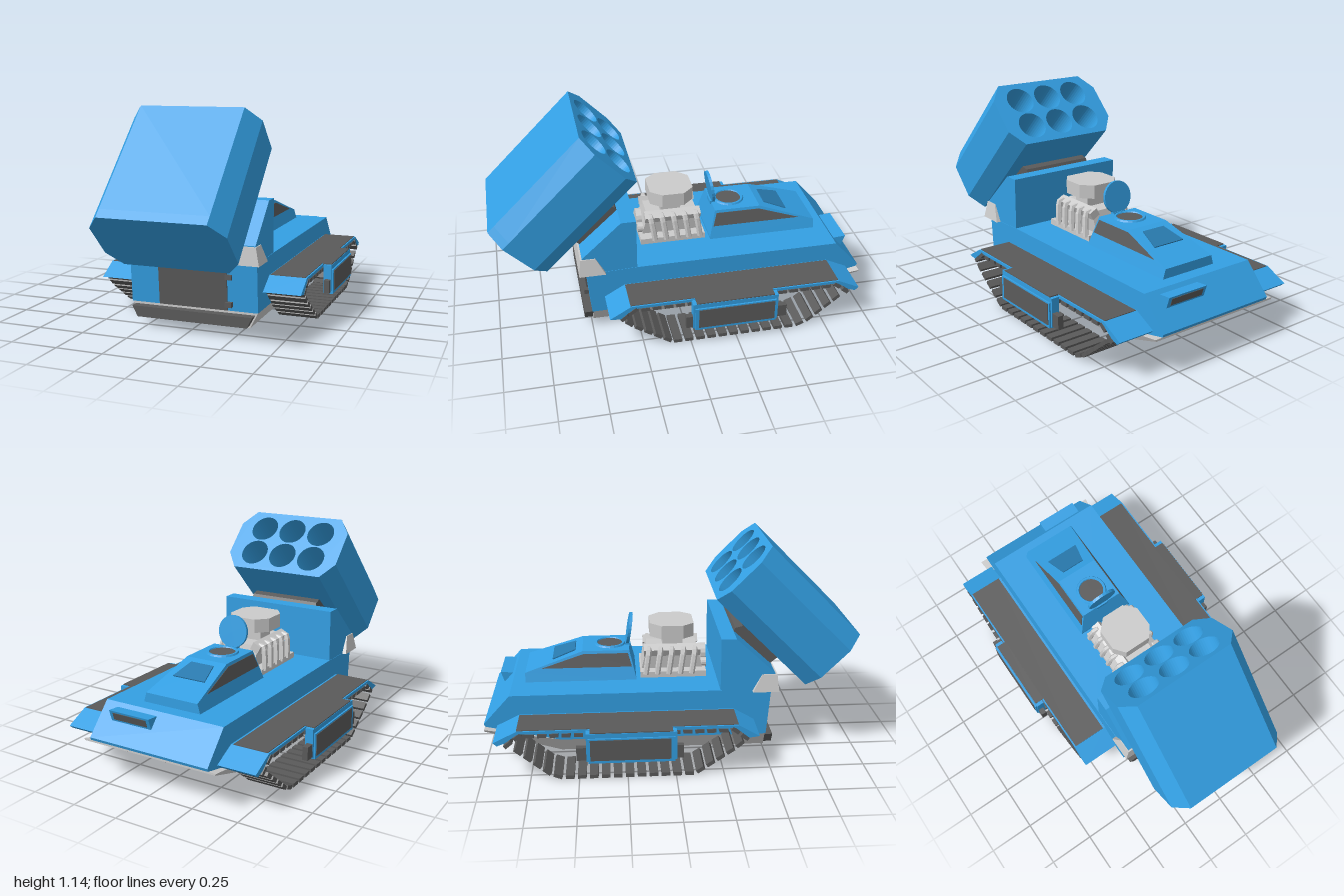
import * as THREE from 'three';

const mat = (color) => new THREE.MeshStandardMaterial({ color, flatShading: true });
const BLUE = mat(0x339fe3), DEEP = mat(0x2879ad), DARK = mat(0x5a5a5a), GREY = mat(0xcccccc);
const CX = 0.007; // hull centre line

function add(parent, name, geo, material, x = 0, y = 0, z = 0) {
  const mesh = new THREE.Mesh(geo, material);
  mesh.name = name;
  mesh.position.set(x, y, z);
  parent.add(mesh);
  return mesh;
}

const outline = (pts) => new THREE.Shape(pts.map(([a, b]) => new THREE.Vector2(a, b)));
const box = (w, h, d) => new THREE.BoxGeometry(w, h, d);

// Side profile of [z, y] points, extruded from x0 to x1
function prism(pts, x0, x1) {
  const g = new THREE.ExtrudeGeometry(outline(pts), { depth: x1 - x0, bevelEnabled: false });
  return g.rotateY(-Math.PI / 2).translate(x1, 0, 0);
}

// Profile centred on x, its half width running from h0 at height y0 to h1 at height y1
function tapered(pts, y0, h0, y1, h1) {
  const g = prism(pts, -1, 1), p = g.attributes.position;
  for (let i = 0; i < p.count; i++) {
    p.setX(i, p.getX(i) * (h0 + (h1 - h0) * (p.getY(i) - y0) / (y1 - y0)));
  }
  g.computeVertexNormals();
  return g;
}

function makeHull() {
  const g = new THREE.Group();
  g.name = 'hull';
  add(g, 'upperHull', prism([[0.5, 0.12], [0.52, 0.37], [0.25, 0.38], [-0.86, 0.38], [-1, 0.225], [-0.995, 0.21], [-0.6, 0.12]], -0.347, 0.347), BLUE);
  add(g, 'lowerHull', tapered([[0.495, 0.12], [0.495, 0.04], [-0.6, 0.04], [-0.995, 0.2], [-0.995, 0.21], [-0.6, 0.12]], 0.12, 0.345, 0.04, 0.305), GREY);
  add(g, 'bellyPlate', tapered([[0.49, 0.05], [0.49, 0.038], [-0.6, 0.038], [-0.985, 0.194], [-0.985, 0.2], [-0.6, 0.05]], 0.04, 0.295, 0.2, 0.335), DARK);
  add(g, 'rearBumper', tapered([[0.49, 0.107], [0.54, 0.107], [0.54, 0.05], [0.49, 0.05]], 0.107, 0.33, 0.05, 0.3), DARK);
  // rear door with hinges
  add(g, 'rearDoor', prism([[0.49, 0.122], [0.508, 0.122], [0.525, 0.34], [0.49, 0.34]], -0.187, 0.187), DARK);
  for (const y of [0.155, 0.297]) add(g, 'doorHinge', box(0.035, 0.026, 0.03), DARK, 0.197, y, 0.512);
  // nose vent
  add(g, 'noseVent', prism([[-0.865, 0.36], [-0.945, 0.367], [-0.925, 0.305], [-0.87, 0.33]], 0.025, 0.265), BLUE);
  add(g, 'noseVentSlot', prism([[-0.93, 0.358], [-0.944, 0.356], [-0.932, 0.318], [-0.92, 0.318]], 0.045, 0.245), DARK);
  return g;
}

function makeCabin() {
  const g = new THREE.Group();
  g.name = 'cabin';
  add(g, 'cabinShell', tapered([[-0.19, 0.375], [-0.19, 0.39], [-0.225, 0.535], [-0.48, 0.535], [-0.79, 0.43], [-0.79, 0.375]], 0.38, 0.168, 0.535, 0.122), BLUE);
  add(g, 'sideWindows', tapered([[-0.213, 0.45], [-0.233, 0.52], [-0.475, 0.52], [-0.7, 0.45]], 0.38, 0.171, 0.535, 0.125), DARK);
  // visor on the sloping front
  const visor = new THREE.ExtrudeGeometry(outline([[-0.095, -0.065], [0.095, -0.065], [0.068, 0.065], [-0.068, 0.065]]), { depth: 0.006, bevelEnabled: false });
  visor.rotateX(-Math.PI / 2).rotateY(Math.PI).rotateX(-0.327);
  // turned so that the wide edge lies towards the nose
  visor.rotateX(0.327).rotateY(Math.PI).scale(1, 1, -1);
  const idx = visor.attributes.position;
  for (let i = 0; i < idx.count; i += 3) { // restore winding after the flip
    const a = [idx.getX(i), idx.getY(i), idx.getZ(i)];
    idx.setXYZ(i, idx.getX(i + 1), idx.getY(i + 1), idx.getZ(i + 1));
    idx.setXYZ(i + 1, ...a);
  }
  visor.computeVertexNormals();
  add(g, 'visor', visor, DEEP, 0, 0.501, -0.58).rotation.x = -0.327;
  // round hatch with raised lid
  add(g, 'hatchRing', new THREE.TorusGeometry(0.077, 0.01, 6, 24).rotateX(Math.PI / 2), BLUE, 0, 0.535, -0.33);
  add(g, 'hatchOpening', new THREE.CylinderGeometry(0.07, 0.07, 0.01, 24), DARK, 0, 0.533, -0.33);
  add(g, 'hatchLid', new THREE.CylinderGeometry(0.087, 0.087, 0.016, 24), BLUE, 0, 0.622, -0.222).rotation.x = 0.16 - Math.PI / 2;
  add(g, 'lidHinge', box(0.07, 0.02, 0.03), BLUE, 0, 0.535, -0.232);
  return g;
}

function makeEngine() {
  const g = new THREE.Group();
  g.name = 'engine';
  add(g, 'engineBase', box(0.29, 0.035, 0.36), GREY, 0, 0.395, 0.015);
  add(g, 'engineBlock', tapered([[0.18, 0.4], [0.15, 0.53], [-0.13, 0.53], [-0.16, 0.4]], 0.4, 0.085, 0.53, 0.1), GREY);
  for (const s of [-1, 1]) {
    add(g, 'cylinderHead', box(0.05, 0.045, 0.31), GREY, s * 0.09, 0.52, 0.01).rotation.z = -s * 0.5;
    for (let i = 0; i < 5; i++) {
      const z = 0.135 - i * 0.063;
      const path = new THREE.CatmullRomCurve3([[0.085, 0.525, z], [0.125, 0.53, z], [0.138, 0.48, z - 0.008], [0.145, 0.4, z - 0.02]]
        .map(([x, y, w]) => new THREE.Vector3(s * x, y, w)));
      add(g, 'exhaustPipe', new THREE.TubeGeometry(path, 8, 0.016, 6), GREY);
    }
  }
  add(g, 'intakeNeck', box(0.12, 0.07, 0.11), GREY, 0, 0.565, 0.015);
  // octagonal intake scoop, lying flat
  const scoop = outline([[-0.075, -0.13], [0.075, -0.13], [0.122, -0.07], [0.122, 0.05], [0.065, 0.11], [-0.065, 0.11], [-0.122, 0.05], [-0.122, -0.07]]);
  add(g, 'intakeScoop', new THREE.ExtrudeGeometry(scoop, { depth: 0.075, bevelEnabled: false }).rotateX(-Math.PI / 2), GREY, 0, 0.593, 0);
  for (const [x, y, r] of [[0, 0.47, 0.05], [0.06, 0.44, 0.028], [-0.055, 0.43, 0.025]]) {
    add(g, 'pulley', new THREE.CylinderGeometry(r, r, 0.03, 14).rotateX(Math.PI / 2), GREY, x, y, 0.187);
  }
  return g;
}

function makeLauncher() {
  const g = new THREE.Group();
  g.name = 'launcher';
  add(g, 'launcherSupport', prism([[0.25, 0.37], [0.25, 0.665], [0.33, 0.665], [0.54, 0.47], [0.54, 0.37]], -0.345, 0.345), BLUE);
  add(g, 'supportFoot', tapered([[0.42, 0.372], [0.47, 0.465], [0.55, 0.465], [0.56, 0.372]], 0.372, 0.37, 0.465, 0.35), GREY);
  add(g, 'tiltMount', prism([[0.33, 0.66], [0.34, 0.68], [0.38, 0.69], [0.58, 0.51], [0.53, 0.47]], -0.21, 0.21), DARK);

  // chamfered pod with six open tubes, tilted 45 degrees
  const pod = new THREE.Group();
  pod.name = 'launchPod';
  const w = 0.346, h = 0.198, cx = 0.07, cy = 0.093;
  const section = () => outline([[-w + cx, -h], [w - cx, -h], [w, -h + cy], [w, h - cy], [w - cx, h], [-w + cx, h], [-w, h - cy], [-w, -h + cy]]);
  const holed = section();
  for (const x of [-0.183, 0, 0.183]) for (const y of [-0.085, 0.085]) {
    holed.holes.push(new THREE.Path().absarc(x, y, 0.081, 0, Math.PI * 2, true));
  }
  const body = new THREE.ExtrudeGeometry(holed, { depth: 0.643, bevelEnabled: false, curveSegments: 20 });
  add(pod, 'podTubes', body, BLUE, 0, 0, 0.05);
  add(pod, 'podBack', new THREE.ExtrudeGeometry(section(), { depth: 0.05, bevelEnabled: false }), BLUE);
  pod.position.set(0, 0.51, 0.86);
  pod.rotation.x = -Math.PI * 0.75;
  g.add(pod);
  return g;
}

function makeTrack(s) {
  const g = new THREE.Group();
  g.name = s > 0 ? 'leftTrack' : 'rightTrack';
  const side = (pts, a, b) => prism(pts, Math.min(s * a, s * b), Math.max(s * a, s * b));

  // separate shoes spaced along the loop
  const loop = [[0.1, 0.011], [-0.59, 0.011], [-0.65, 0.035], [-0.855, 0.205], [-0.8, 0.25], [0.3, 0.25], [0.365, 0.2], [0.3, 0.145], [0.1, 0.011]]
    .map(([z, y]) => new THREE.Vector3(0, y, z));
  const path = new THREE.CurvePath();
  for (let i = 1; i < loop.length; i++) path.add(new THREE.LineCurve3(loop[i - 1], loop[i]));
  const shoe = box(0.21, 0.02, 0.045), N = 42;
  for (let i = 0; i < N; i++) {
    const p = path.getPointAt((i + 0.5) / N), t = path.getTangentAt((i + 0.5) / N);
    add(g, 'trackShoe', shoe, DARK, s * 0.45, p.y, p.z).rotation.x = Math.atan2(-t.y, t.z);
  }

  // fender shell over the track
  add(g, 'fender', side([[0.43, 0.212], [0.32, 0.277], [-0.81, 0.277], [-0.93, 0.218], [-0.91, 0.2], [-0.87, 0.215], [-0.805, 0.262], [0.305, 0.262], [0.375, 0.205]], 0.347, 0.553), BLUE);
  add(g, 'fenderTread', side([[0.32, 0.27], [0.32, 0.28], [-0.81, 0.28], [-0.81, 0.27]], 0.36, 0.545), DARK);

  // side locker with dark panel, tread on top and end tabs
  const locker = [[0.0, 0.12], [0.0, 0.275], [-0.46, 0.275], [-0.46, 0.12]];
  add(g, 'sideLocker', side(locker, 0.557, 0.6), BLUE);
  add(g, 'lockerRim', side([[-0.01, 0.115], [-0.01, 0.25], [-0.45, 0.25], [-0.45, 0.115]], 0.59, 0.609), BLUE);
  add(g, 'lockerPanel', side([[-0.03, 0.13], [-0.03, 0.243], [-0.44, 0.243], [-0.44, 0.13]], 0.6, 0.612), DARK);
  add(g, 'lockerTread', side([[-0.02, 0.27], [-0.02, 0.28], [-0.44, 0.28], [-0.44, 0.27]], 0.54, 0.598), DARK);
  for (const z of [0.01, -0.485]) add(g, 'lockerTab', box(0.03, 0.07, 0.05), DARK, s * 0.583, 0.163, z);
  return g;
}

export function createModel() {
  const model = new THREE.Group();
  model.name = 'rocketTank';
  for (const part of [makeHull(), makeCabin(), makeEngine(), makeLauncher()]) {
    part.position.x = CX;
    model.add(part);
  }
  model.add(makeTrack(1), makeTrack(-1));
  return model;
}
